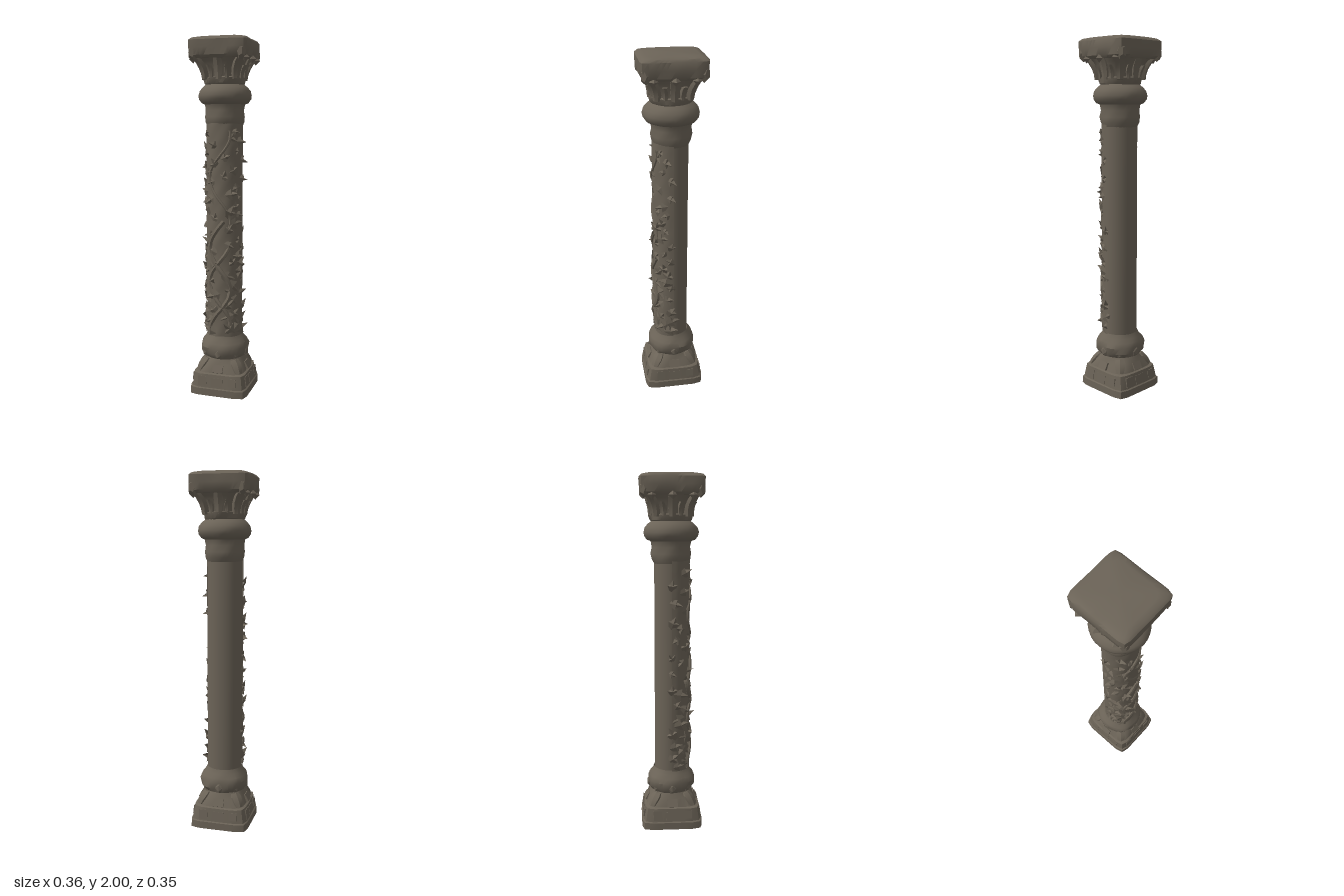
import * as THREE from 'three';
import { mergeGeometries, toCreasedNormals } from 'three/addons/utils/BufferGeometryUtils.js';

const stone = new THREE.MeshStandardMaterial({ color: 0x6b6357, side: THREE.DoubleSide });
stone.name = 'weathered stone';

// Seeded random numbers for the carving
let seed = 7;
const rnd = (a, b) => {
  seed = (seed * 16807) % 2147483647;
  return a + (b - a) * (seed / 2147483647);
};

// Worn, uneven surface
const wear = (a, y) => Math.sin(3 * a + y * 31) * 0.5 + Math.sin(7 * a - y * 47) * 0.3 + Math.sin(5 * a + y * 90) * 0.3;

// Stacked rings: [y, half width x, half depth z, squareness (2 = round), wear]
function loft(rings, segs = 32) {
  const pos = [], idx = [];
  rings.forEach(([y, hx, hz, n = 2, w = 0]) => {
    for (let i = 0; i < segs; i++) {
      const a = (i / segs) * Math.PI * 2, s = Math.sin(a), c = Math.cos(a);
      const r = 1 / Math.pow(Math.abs(s) ** n + Math.abs(c) ** n, 1 / n);
      const k = w * wear(a, y);
      pos.push(s * (r * hx + k), y, c * (r * hz + k));
    }
  });
  for (let j = 0; j < rings.length - 1; j++) {
    for (let i = 0; i < segs; i++) {
      const a = j * segs + i, b = j * segs + (i + 1) % segs;
      idx.push(a, b, b + segs, a, b + segs, a + segs);
    }
  }
  const g = new THREE.BufferGeometry();
  g.setAttribute('position', new THREE.Float32BufferAttribute(pos, 3));
  g.setIndex(idx);
  return g;
}

function add(group, name, geo, crease = 0.6) {
  const mesh = new THREE.Mesh(toCreasedNormals(geo, crease), stone);
  mesh.name = name;
  group.add(mesh);
  return mesh;
}

// Pointed, ridged leaf standing off the surface; z is outwards
function leaf(w, h, lift) {
  const rim = [[0, -0.5, 0], [0.3, -0.35, 0], [0.5, 0.02, 0.5], [0.24, 0.1, 0], [0, 0.5, 1],
    [-0.24, 0.1, 0], [-0.5, 0.02, 0.5], [-0.3, -0.35, 0]];
  const pos = [];
  rim.forEach((p, i) => {
    for (const q of [[0, -0.05, 0.8], p, rim[(i + 1) % rim.length]]) pos.push(q[0] * w, q[1] * h, q[2] * lift);
  });
  const g = new THREE.BufferGeometry();
  g.setAttribute('position', new THREE.Float32BufferAttribute(pos, 3));
  return g;
}

// Upright block whose top curls outwards
function acanthus(w, h, t, curl) {
  const g = new THREE.BoxGeometry(w, h, t, 2, 4, 1);
  const p = g.attributes.position;
  for (let i = 0; i < p.count; i++) {
    const v = p.getY(i) / h + 0.5;
    p.setZ(i, p.getZ(i) + curl * v * v - Math.abs(p.getX(i)) * 0.3);
    p.setX(i, p.getX(i) * (0.65 + 0.7 * v - 0.55 * v ** 4));
  }
  return g.toNonIndexed().deleteAttribute('uv').deleteAttribute('normal');
}

// Puts a part on the column at angle a (0 = front), height y and radius r
const around = (g, a, y, r) => g.rotateY(a).translate(Math.sin(a) * r, y, Math.cos(a) * r);

export function createModel() {
  seed = 7;
  const column = new THREE.Group();
  column.name = 'column';

  // Square plinth sloping up to a round foot
  add(column, 'plinth', loft([
    [0, 0, 0], [0, 0.168, 0.175, 9], [0.04, 0.167, 0.174, 9], [0.045, 0.161, 0.168, 8, 0.002],
    [0.12, 0.151, 0.156, 7, 0.003], [0.125, 0.14, 0.145, 5, 0.003], [0.17, 0.124, 0.128, 3, 0.003],
    [0.2, 0.108, 0.11, 2], [0.22, 0.1, 0.1, 2],
  ]), 0.5);

  // Worn panels on the four plinth faces, and spurs at its corners
  const panels = [], spurs = [];
  for (let k = 0; k < 4; k++) {
    const a = k * Math.PI / 2, d = k % 2 ? 0.154 : 0.16;
    for (const [x, y, w, h] of [[-0.085, 0.08, 0.05, 0.055], [0.0, 0.077, 0.07, 0.05], [0.09, 0.083, 0.045, 0.045]]) {
      panels.push(new THREE.BoxGeometry(w, h, 0.01).rotateX(-0.14).translate(x, y, d).rotateY(a));
    }
    panels.push(new THREE.BoxGeometry(0.06, 0.045, 0.016).rotateX(-0.5).translate(0, 0.148, 0.135).rotateY(a));
    spurs.push(around(acanthus(0.06, 0.08, 0.03, -0.025).rotateX(-0.35), a + Math.PI / 4, 0.165, 0.152));
  }
  add(column, 'plinthPanels', mergeGeometries(panels), 0.3);
  add(column, 'plinthSpurs', mergeGeometries(spurs), 0.3);

  // Swollen base ring with carved knobs
  add(column, 'baseRing', loft([
    [0.195, 0.1, 0.1], [0.205, 0.122, 0.122, 2, 0.003], [0.23, 0.133, 0.133, 2.3, 0.005],
    [0.265, 0.136, 0.136, 2.3, 0.005], [0.29, 0.128, 0.128, 2.2, 0.004], [0.31, 0.112, 0.112, 2, 0.003],
    [0.335, 0.1, 0.1],
  ]));
  const knobs = [];
  for (let k = 0; k < 8; k++) {
    knobs.push(around(new THREE.IcosahedronGeometry(0.024, 0).scale(1, 1.4, 0.6), k * Math.PI / 4, 0.235, 0.127));
  }
  add(column, 'baseKnobs', mergeGeometries(knobs), 0.3);

  // Smooth shaft, a little flatter at the back
  add(column, 'shaft', loft([
    [0.3, 0.1, 0.094], [0.8, 0.1, 0.094, 2, 0.001], [1.2, 0.099, 0.093, 2, 0.001], [1.6, 0.099, 0.094],
  ], 40));

  // Uneven raised layer over the front half
  const layer = new THREE.CylinderGeometry(0.104, 0.104, 1.22, 18, 40, true, -Math.PI / 2, Math.PI).translate(0, 0.94, 0);
  const lp = layer.attributes.position;
  for (let i = 0; i < lp.count; i++) {
    const a = Math.atan2(lp.getX(i), lp.getZ(i)), y = lp.getY(i);
    const k = 1 + 0.035 * wear(a, y) * Math.max(0, Math.cos(a));
    lp.setXYZ(i, lp.getX(i) * k, y, lp.getZ(i) * k);
  }
  add(column, 'carvedLayer', layer, 0.5);

  // Winding vine stems
  const stems = [];
  for (const [phase, y0, y1, r] of [[0, 0.34, 1.0, 0.014], [2.6, 0.4, 0.85, 0.012], [1.2, 0.95, 1.5, 0.008]]) {
    const pts = [];
    for (let i = 0; i <= 12; i++) {
      const y = y0 + (y1 - y0) * i / 12, a = 0.6 * Math.sin(y * 13 + phase);
      pts.push(new THREE.Vector3(Math.sin(a) * 0.105, y, Math.cos(a) * 0.105));
    }
    stems.push(new THREE.TubeGeometry(new THREE.CatmullRomCurve3(pts), 40, r, 6));
  }
  add(column, 'vineStems', mergeGeometries(stems), 0.5);

  // Ragged leaves, denser and larger towards the bottom
  const leaves = [];
  for (let i = 0; i < 78; i++) {
    const t = i / 78, y = 0.36 + 1.15 * Math.pow(t, 1.2);
    const size = rnd(0.06, 0.1) * (1.1 - 0.35 * t);
    const a = [-1.4, -0.5, 1.35, 0.45, -0.95, 0.9][i % 6] + rnd(-0.22, 0.22);
    const g = leaf(size * 0.8, size, rnd(0.012, 0.026)).rotateZ(rnd(-2.4, 2.4)).rotateY(rnd(-0.3, 0.3));
    leaves.push(around(g, a, y, 0.1));
  }
  add(column, 'vineLeaves', mergeGeometries(leaves), 0.1);

  // Worn neck and rounded collar
  add(column, 'neck', loft([
    [1.52, 0.098, 0.094], [1.545, 0.108, 0.107, 2, 0.002], [1.575, 0.111, 0.113, 2, 0.003],
    [1.61, 0.107, 0.106, 2, 0.003], [1.64, 0.112, 0.112, 2, 0.001], [1.66, 0.12, 0.12],
  ]), 0.9);
  add(column, 'collar', loft([
    [1.64, 0.108, 0.108], [1.65, 0.13, 0.135, 2, 0.001], [1.67, 0.145, 0.149, 2, 0.002],
    [1.69, 0.148, 0.153, 2, 0.002], [1.715, 0.142, 0.146, 2, 0.002], [1.735, 0.126, 0.128, 2, 0.001],
    [1.75, 0.108, 0.108],
  ]), 0.9);

  // Capital bell with a ring at its foot
  add(column, 'capitalBell', loft([
    [1.74, 0.1, 0.1], [1.755, 0.112, 0.116, 2, 0.003], [1.785, 0.118, 0.124, 2, 0.004], [1.79, 0.108, 0.11],
    [1.83, 0.112, 0.116, 2.3], [1.87, 0.128, 0.134, 3], [1.9, 0.145, 0.155, 5],
  ]));
  const capLeaves = [];
  for (let k = 0; k < 8; k++) {
    const a = k * Math.PI / 4, corner = k % 2;
    capLeaves.push(around(acanthus(0.05, 0.12, 0.025, corner ? 0.06 : 0.03), a, 1.835, corner ? 0.128 : 0.113));
    capLeaves.push(around(acanthus(0.03, 0.07, 0.022, 0.024), a + Math.PI / 8, 1.815, 0.114));
  }
  add(column, 'capitalLeaves', mergeGeometries(capLeaves), 0.4);

  // Square top slab with softly worn edges
  add(column, 'topSlab', loft([
    [1.885, 0, 0], [1.885, 0.143, 0.153, 8], [1.9, 0.158, 0.168, 12, 0.002], [1.94, 0.162, 0.173, 14, 0.002],
    [1.98, 0.162, 0.175, 14, 0.002], [1.993, 0.152, 0.163, 9, 0.003], [2, 0.125, 0.135, 6], [2, 0, 0],
  ], 48), 0.7);

  // Broken corner scrolls and small tips along the two sides
  const scrolls = [], tips = [];
  for (const sx of [-1, 1]) {
    for (const sz of [-1, 1]) {
      scrolls.push(new THREE.DodecahedronGeometry(0.034, 0).scale(0.8, 1.35, 0.8)
        .rotateY(sx * sz * 0.5).translate(sx * 0.135, 1.915, sz * 0.148));
    }
    for (const z of [-0.11, 0, 0.11]) {
      tips.push(new THREE.OctahedronGeometry(0.024, 0).translate(sx * (z ? 0.147 : 0.156), 1.885, z));
    }
  }
  add(column, 'cornerScrolls', mergeGeometries(scrolls), 0.2);
  add(column, 'sideTips', mergeGeometries(tips), 0.2);

  return column;
}
